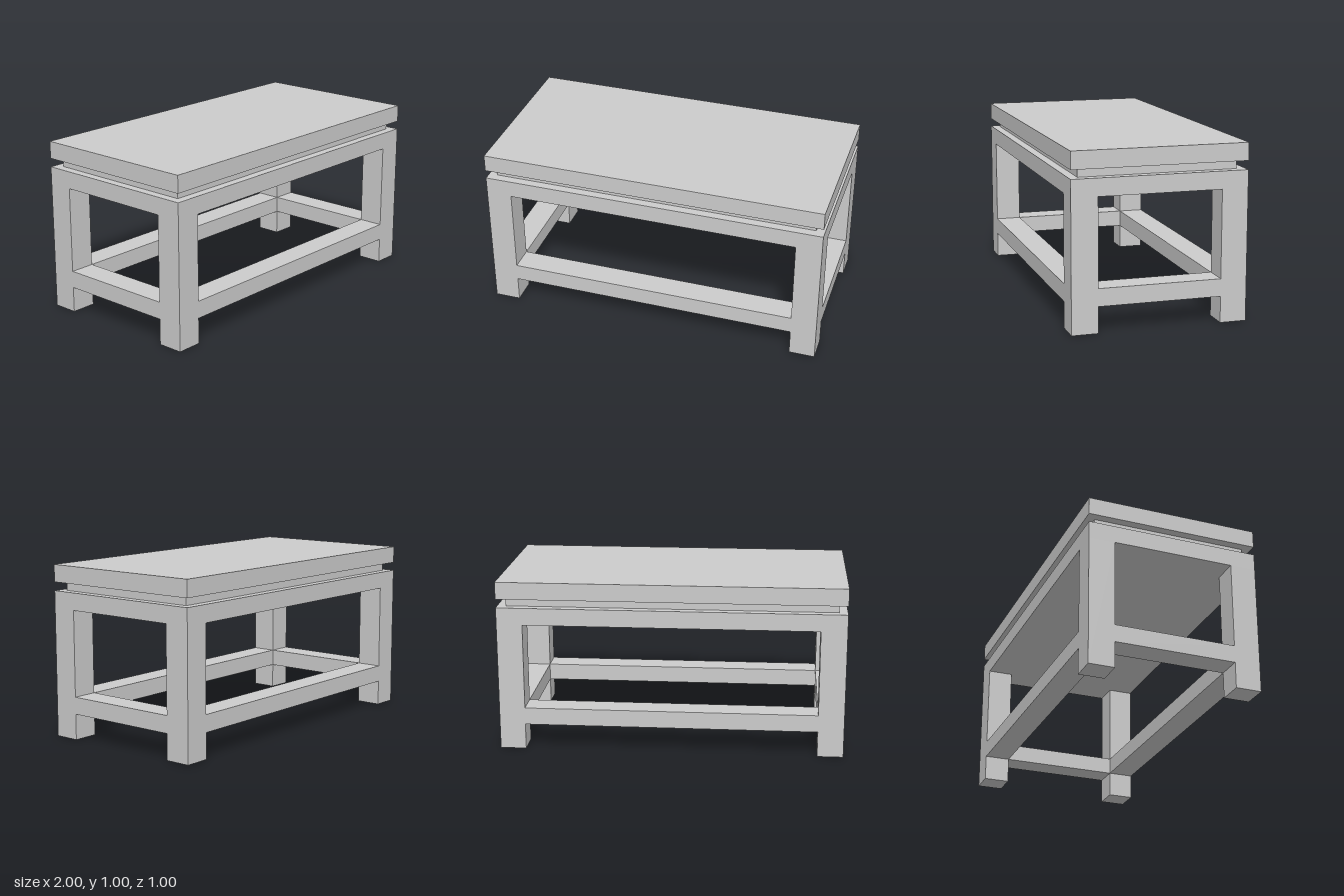
import * as THREE from 'three';

export function createModel() {
  const group = new THREE.Group();
  group.name = 'bench';
  const material = new THREE.MeshStandardMaterial({ color: 0xcccccc, flatShading: true });

  // Box with its base at height y
  function addBox(name, w, h, d, x, y, z) {
    const mesh = new THREE.Mesh(new THREE.BoxGeometry(w, h, d), material);
    mesh.name = name;
    mesh.position.set(x, y + h / 2, z);
    group.add(mesh);
  }

  const post = 0.15;
  const legX = 1 - post / 2;
  const legZ = 0.5 - post / 2;

  // Top, recessed spacer and solid frame panel
  addBox('top', 2, 0.1, 1, 0, 0.9, 0);
  addBox('spacer', 1.9, 0.05, 0.9, 0, 0.85, 0);
  addBox('framePanel', 2, 0.1, 1, 0, 0.75, 0);

  // Four legs, flush with the frame corners
  for (const sx of [1, -1]) {
    for (const sz of [1, -1]) {
      addBox(`${sz > 0 ? 'front' : 'back'}${sx > 0 ? 'Left' : 'Right'}Leg`,
        post, 0.75, post, sx * legX, 0, sz * legZ);
    }
  }

  // Lower stretchers between the legs
  for (const s of [1, -1]) {
    addBox(s > 0 ? 'frontStretcher' : 'backStretcher', 2 - 2 * post, 0.1, post, 0, 0.15, s * legZ);
    addBox(s > 0 ? 'leftStretcher' : 'rightStretcher', post, 0.1, 1 - 2 * post, s * legX, 0.15, 0);
  }

  return group;
}
